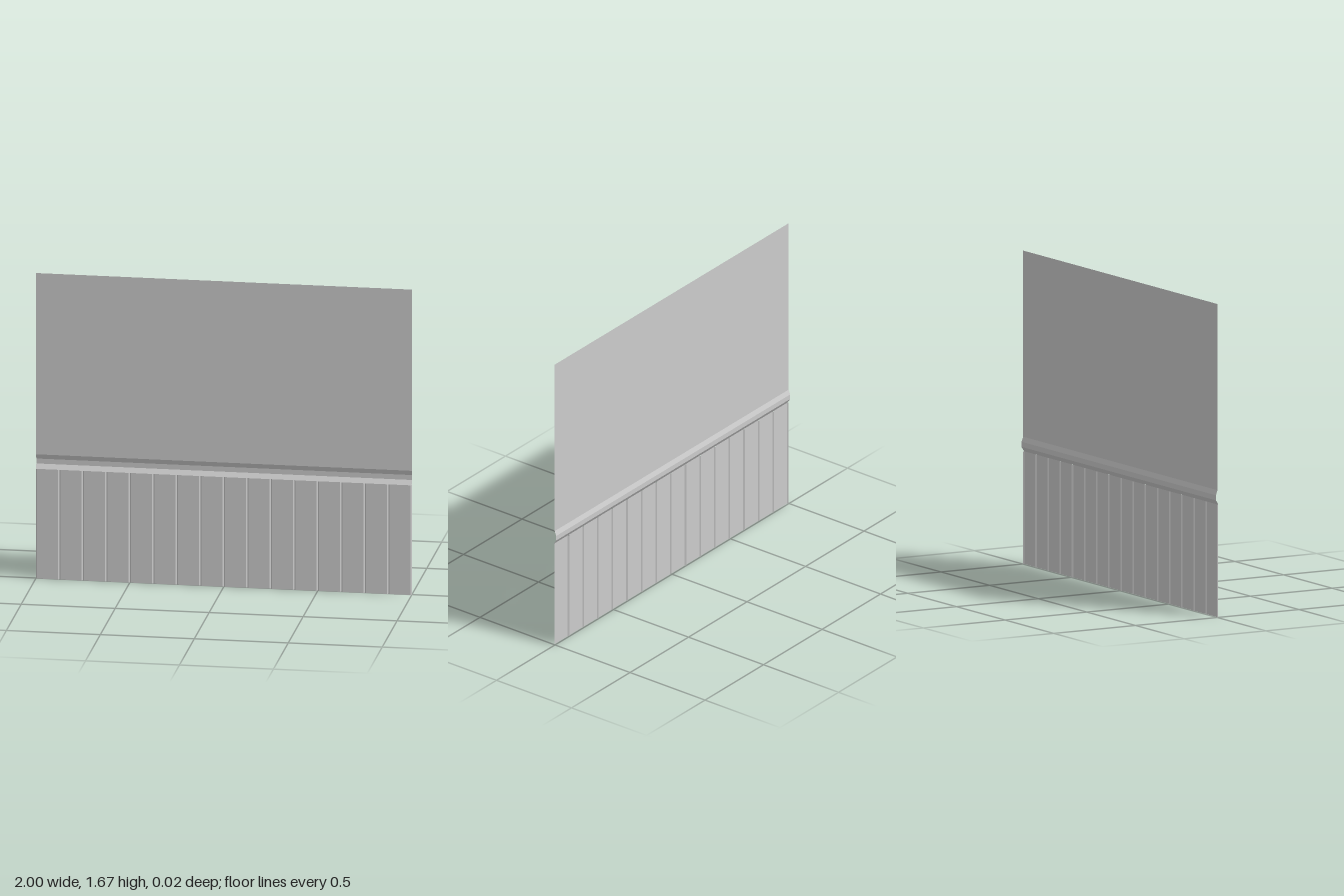
import * as THREE from 'three';

const WIDTH = 2;
const HEIGHT = 1.67;
const PLANK_TOP = 0.6;
const PLANKS = 16;
const FRONT = 0.008; // plank face
const BACK = -0.008; // bottom of the rail recess
const WALL = 0.002; // upper wall face
const GROOVE = { half: 0.006, depth: 0.006 };

// Open sheet swept from a polyline of points along a straight offset.
function sweep(points, offset) {
  const positions = [];
  for (let i = 0; i < points.length - 1; i++) {
    const a = points[i];
    const b = points[i + 1];
    const c = b.clone().add(offset);
    const d = a.clone().add(offset);
    for (const p of [a, b, c, a, c, d]) positions.push(p.x, p.y, p.z);
  }
  const geometry = new THREE.BufferGeometry();
  geometry.setAttribute('position', new THREE.Float32BufferAttribute(positions, 3));
  geometry.computeVertexNormals();
  return geometry;
}

export function createModel() {
  const group = new THREE.Group();
  group.name = 'panelledWall';
  const material = new THREE.MeshStandardMaterial({
    color: 0xcccccc, flatShading: true, side: THREE.DoubleSide,
  });
  const add = (name, geometry) => {
    const mesh = new THREE.Mesh(geometry, material);
    mesh.name = name;
    group.add(mesh);
  };
  const v = (x, y, z) => new THREE.Vector3(x, y, z);

  // Plank wainscot: flat boards with bevelled edges that meet in V grooves
  const boards = [];
  const step = WIDTH / PLANKS;
  for (let i = 0; i < PLANKS; i++) {
    const x = -WIDTH / 2 + i * step;
    boards.push(
      v(x, 0, FRONT - GROOVE.depth),
      v(x + GROOVE.half, 0, FRONT),
      v(x + step - GROOVE.half, 0, FRONT),
    );
  }
  boards.push(v(WIDTH / 2, 0, FRONT - GROOVE.depth));
  add('wainscotPlanks', sweep(boards, v(0, PLANK_TOP, 0)));

  // Recessed rail: slopes back, runs flat, then slopes forward to the wall
  const left = -WIDTH / 2;
  const along = v(WIDTH, 0, 0);
  const rail = [[PLANK_TOP, FRONT], [0.625, BACK], [0.652, BACK], [0.678, WALL]]
    .map(([y, z]) => v(left, y, z)).reverse();
  add('recessedRail', sweep(rail, along));

  // Plain upper wall
  add('upperWall', sweep([v(left, HEIGHT, WALL), v(left, 0.678, WALL)], along));

  return group;
}
